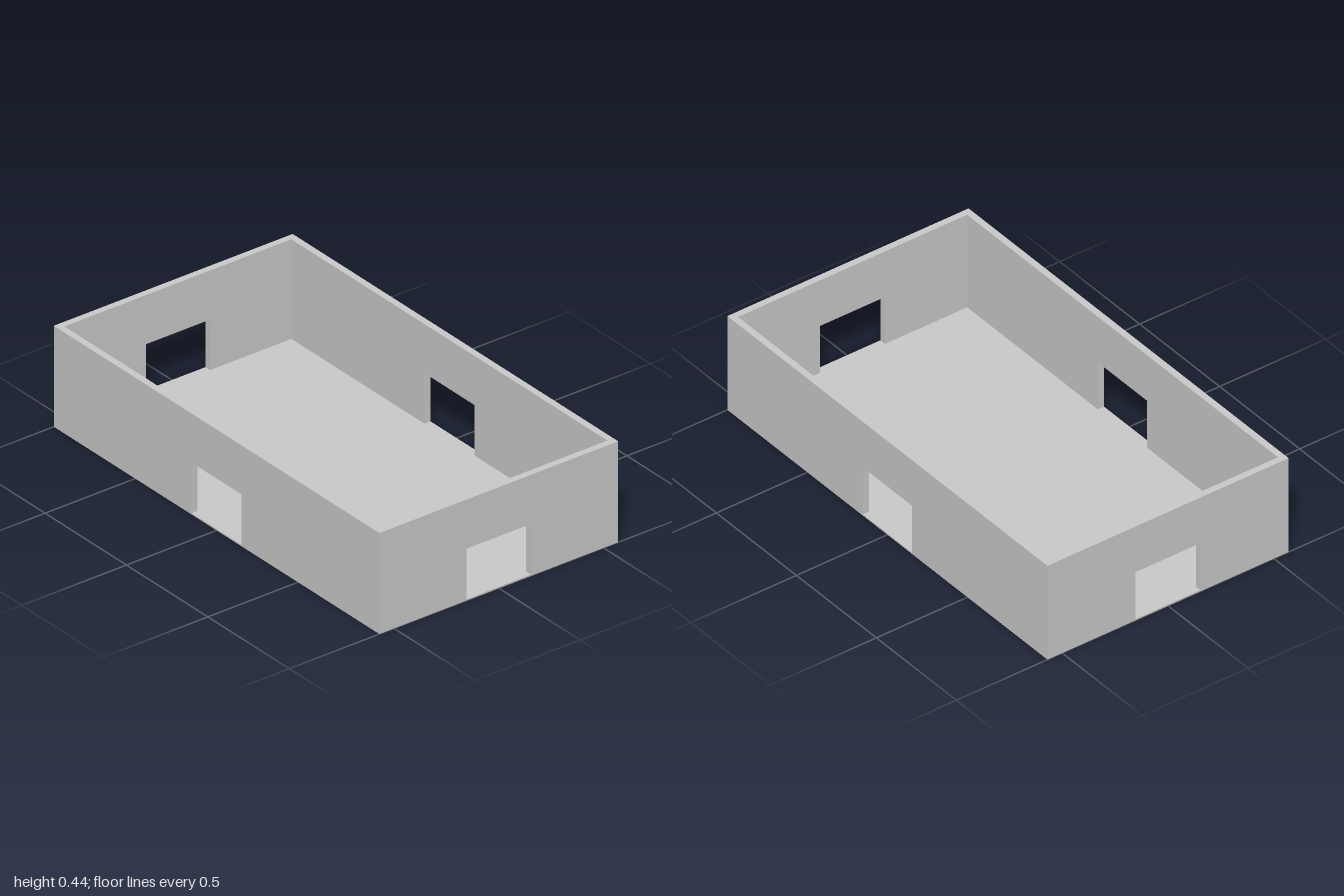
import * as THREE from 'three';

const WIDTH = 2, DEPTH = 1.14, HEIGHT = 0.438;
const WALL = 0.029, FLOOR = 0.006;
const DOOR_HALF = 0.153, DOOR_TOP = 0.225;

// Upright wall with a centred doorway, thickness running from z = 0 inwards to z = -WALL
function wallGeometry(length) {
  const h = length / 2;
  const shape = new THREE.Shape([
    [-h, FLOOR], [-DOOR_HALF, FLOOR], [-DOOR_HALF, DOOR_TOP], [DOOR_HALF, DOOR_TOP],
    [DOOR_HALF, FLOOR], [h, FLOOR], [h, HEIGHT], [-h, HEIGHT],
  ].map(([x, y]) => new THREE.Vector2(x, y)));
  const geometry = new THREE.ExtrudeGeometry(shape, { depth: WALL, bevelEnabled: false });
  return geometry.translate(0, 0, -WALL);
}

export function createModel() {
  const group = new THREE.Group();
  group.name = 'roofless room';
  const material = new THREE.MeshStandardMaterial({ color: 0xcccccc });

  // Thin floor slab
  const floor = new THREE.Mesh(new THREE.BoxGeometry(WIDTH, FLOOR, DEPTH), material);
  floor.name = 'floor';
  floor.position.y = FLOOR / 2;
  group.add(floor);

  // Long walls span the full width; short walls fit between them
  const longWall = wallGeometry(WIDTH);
  const shortWall = wallGeometry(DEPTH - 2 * WALL);
  const walls = [
    ['frontWall', longWall, DEPTH / 2, 0],
    ['leftWall', shortWall, WIDTH / 2, Math.PI / 2],
    ['backWall', longWall, DEPTH / 2, Math.PI],
    ['rightWall', shortWall, WIDTH / 2, -Math.PI / 2],
  ];
  for (const [name, geometry, distance, angle] of walls) {
    const wall = new THREE.Mesh(geometry, material);
    wall.name = name;
    wall.rotation.y = angle;
    wall.position.set(Math.sin(angle) * distance, 0, Math.cos(angle) * distance);
    group.add(wall);
  }
  return group;
}
